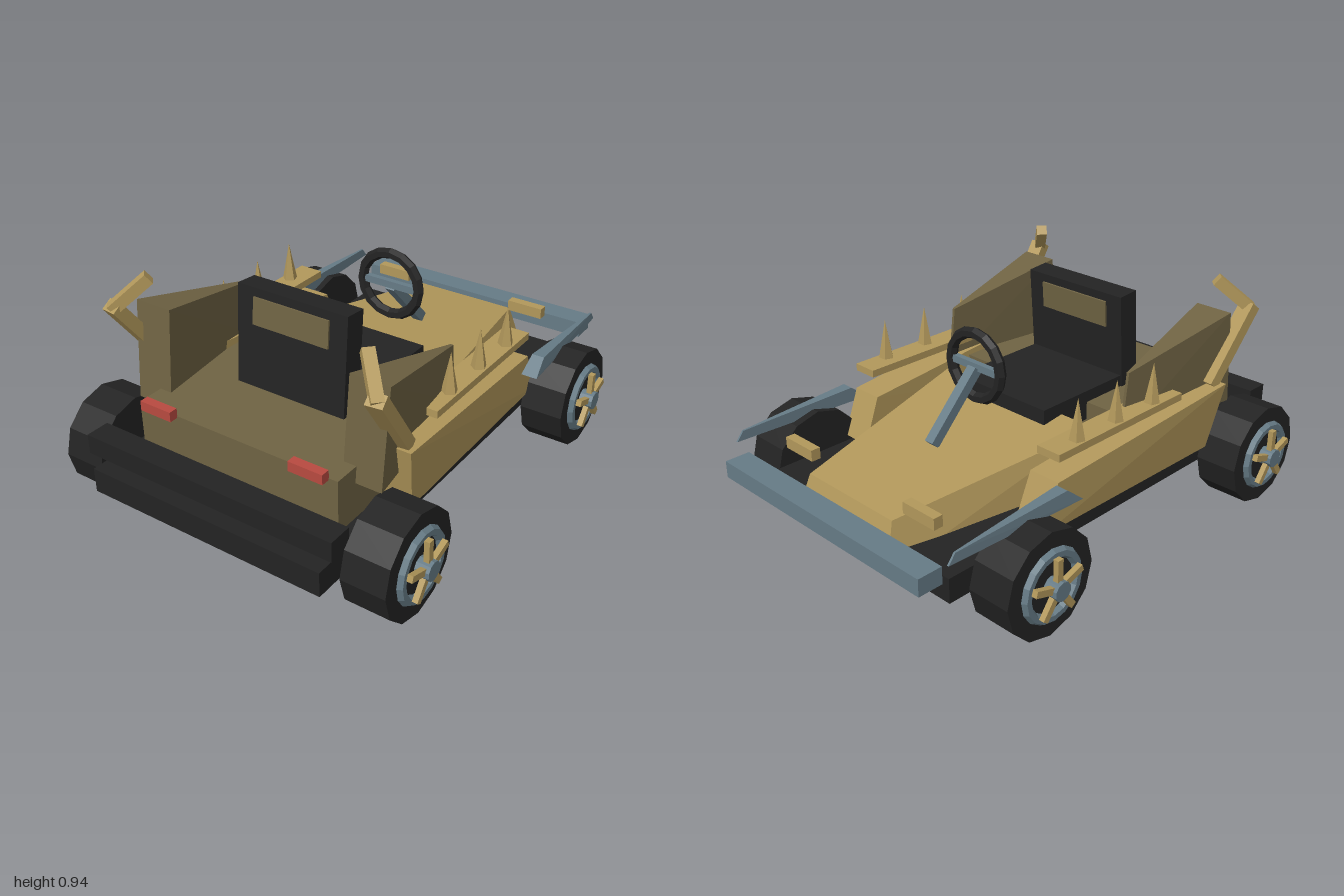
import * as THREE from 'three';
import { ConvexGeometry } from 'three/addons/geometries/ConvexGeometry.js';

const mat = (name, color) => {
  const m = new THREE.MeshStandardMaterial({ color, flatShading: true });
  m.name = name;
  return m;
};

export function createModel() {
  const gold = mat('gold', 0xb2985b), olive = mat('olive', 0x6f6343), black = mat('black', 0x232323);
  const steel = mat('steel', 0x667b86), red = mat('red', 0xb84a40);
  const kart = new THREE.Group();
  kart.name = 'kart';

  const add = (name, geo, material, parent = kart) => {
    const mesh = new THREE.Mesh(geo, material);
    mesh.name = name;
    parent.add(mesh);
    return mesh;
  };
  // box given by its min and max on each axis
  const box = (name, material, [x0, x1], [y0, y1], [z0, z1], parent) => {
    const m = add(name, new THREE.BoxGeometry(x1 - x0, y1 - y0, z1 - z0), material, parent);
    m.position.set((x0 + x1) / 2, (y0 + y1) / 2, (z0 + z1) / 2);
    return m;
  };
  // faceted solid from its corners
  const solid = (name, material, pts, parent) =>
    add(name, new ConvexGeometry(pts.map(p => new THREE.Vector3(...p))), material, parent);
  // square bar between two points
  const bar = (name, material, a, b, w, d, parent) => {
    const A = new THREE.Vector3(...a), B = new THREE.Vector3(...b);
    const m = add(name, new THREE.BoxGeometry(w, d, A.distanceTo(B)), material, parent);
    m.position.copy(A).lerp(B, 0.5);
    m.lookAt(B);
    return m;
  };

  // chassis, bumpers and rear deck
  box('chassis', black, [-0.515, 0.515], [0.163, 0.263], [-0.835, 1]);
  box('rearBumper', black, [-0.55, 0.55], [0.308, 0.388], [0.88, 0.978]);
  box('frontBumper', steel, [-0.553, 0.553], [0.293, 0.362], [-1, -0.897]);
  box('rearDeck', olive, [-0.448, 0.448], [0.263, 0.476], [0.17, 0.797]);

  // sloping nose cowl
  solid('noseCowl', gold, [-1, 1].flatMap(s => [
    [s * 0.268, 0.19, -0.9], [s * 0.235, 0.37, -0.84],
    [s * 0.405, 0.475, 0.02], [s * 0.43, 0.265, 0.06]]));

  // seat
  box('seatCushion', black, [-0.24, 0.24], [0.4, 0.525], [-0.08, 0.4]);
  const back = new THREE.Group();
  back.name = 'seatBack';
  back.position.set(0, 0.66, 0.414);
  back.rotation.x = -0.08;
  kart.add(back);
  add('backrest', new THREE.BoxGeometry(0.492, 0.43, 0.094), black, back);
  add('headrestPad', new THREE.BoxGeometry(0.34, 0.11, 0.11), olive, back).position.y = 0.125;

  // steering
  add('steeringWheel', new THREE.TorusGeometry(0.134, 0.023, 6, 16), black).position.set(0, 0.68, -0.208);
  bar('steeringColumn', steel, [0, 0.43, -0.445], [0, 0.67, -0.215], 0.042, 0.042);
  box('steeringSpoke', steel, [-0.125, 0.125], [0.665, 0.695], [-0.22, -0.196]);

  // parts repeated on both sides
  for (const s of [1, -1]) {
    const side = new THREE.Group();
    side.name = s > 0 ? 'leftSide' : 'rightSide';
    kart.add(side);

    solid('sidePod', gold, [
      [s * 0.425, 0.263, -0.43], [s * 0.56, 0.263, -0.43], [s * 0.43, 0.452, -0.355], [s * 0.565, 0.452, -0.355],
      [s * 0.44, 0.263, 0.53], [s * 0.575, 0.263, 0.53], [s * 0.45, 0.533, 0.595], [s * 0.605, 0.533, 0.595]], side);
    solid('sideFin', olive, [
      [s * 0.472, 0.695, 0.12], [s * 0.484, 0.695, 0.12], [s * 0.472, 0.44, 0.09], [s * 0.484, 0.44, 0.09],
      [s * 0.398, 0.808, 0.655], [s * 0.56, 0.808, 0.655], [s * 0.395, 0.41, 0.695], [s * 0.555, 0.41, 0.695]], side);
    solid('frontFender', steel, [
      [s * 0.568, 0.395, -0.3], [s * 0.635, 0.395, -0.3], [s * 0.574, 0.455, -0.375], [s * 0.626, 0.455, -0.375],
      [s * 0.598, 0.433, -0.885], [s * 0.606, 0.433, -0.885], [s * 0.598, 0.395, -0.915], [s * 0.606, 0.395, -0.915]], side);

    // spiked rail
    box('rail', gold, [s * 0.51 - 0.053, s * 0.51 + 0.053], [0.53, 0.56], [-0.35, 0.355], side);
    for (const z of [-0.218, -0.004, 0.212])
      add('spike', new THREE.ConeGeometry(0.032, 0.165, 5), gold, side).position.set(s * 0.528, 0.64, z);

    // bent horn behind the fin
    bar('hornBase', gold, [s * 0.55, 0.53, 0.55], [s * 0.575, 0.82, 0.765], 0.065, 0.05, side);
    bar('hornTip', gold, [s * 0.58, 0.805, 0.765], [s * 0.475, 0.925, 0.665], 0.045, 0.045, side);

    // lamps
    box('noseLamp', gold, [s * 0.34 - 0.08, s * 0.34 + 0.08], [0.398, 0.444], [-0.81, -0.77], side);
    box('tailLamp', red, [s * 0.338 - 0.072, s * 0.338 + 0.072], [0.468, 0.508], [0.795, 0.832], side);

    // wheels, built along +z and turned outward
    for (const z of [0.727, -0.567]) {
      const wheel = new THREE.Group();
      wheel.name = z > 0 ? 'rearWheel' : 'frontWheel';
      wheel.position.set(s * 0.64, 0.21, z);
      wheel.rotation.y = s * Math.PI / 2;
      side.add(wheel);
      const disc = (name, r, len, at, sides, m) => {
        const d = add(name, new THREE.CylinderGeometry(r, r, len, sides), m, wheel);
        d.rotation.x = Math.PI / 2;
        d.position.z = at;
      };
      disc('tyre', 0.21, 0.18, 0, 12, black);
      disc('axle', 0.027, 0.2, -0.1, 8, steel);
      disc('hub', 0.038, 0.07, 0.112, 10, steel);
      add('rim', new THREE.TorusGeometry(0.126, 0.021, 6, 16), steel, wheel).position.z = 0.092;
      for (let i = 0; i < 5; i++) {
        const a = Math.PI / 2 + i * Math.PI * 2 / 5;
        const spoke = add('spoke', new THREE.BoxGeometry(0.1, 0.026, 0.022), gold, wheel);
        spoke.position.set(Math.cos(a) * 0.07, Math.sin(a) * 0.07, 0.122);
        spoke.rotation.z = a;
      }
    }
  }
  return kart;
}
